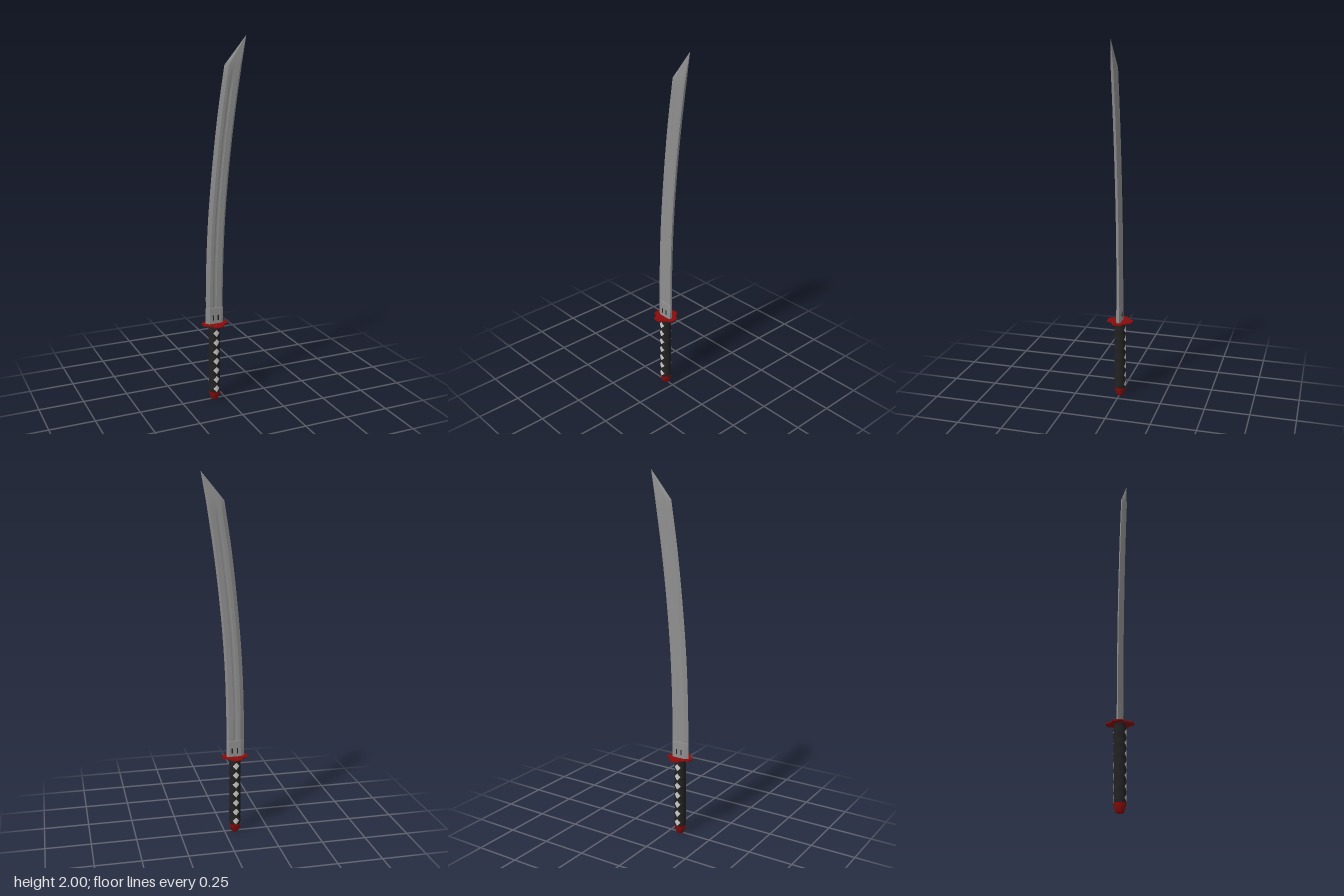
import * as THREE from 'three';
import { toCreasedNormals } from 'three/addons/utils/BufferGeometryUtils.js';

const CX = -0.06; // axis of the grip

const mat = (color, side = THREE.FrontSide) => new THREE.MeshStandardMaterial({ color, side });

// Cutting edge and spine as curves (x, y), sampled by height
const edgePts = [[0.45, -0.111], [0.7, -0.109], [1, -0.097], [1.3, -0.072], [1.6, -0.038], [1.85, 0]];
const spinePts = [[0.45, -0.013], [0.7, -0.011], [1, 0], [1.3, 0.024], [1.6, 0.059], [1.85, 0.096]];
const TIP = { x: 0.124, y: 2 };
const curveOf = pts => new THREE.CatmullRomCurve3(pts.map(([y, x]) => new THREE.Vector3(x, y, 0)));
const edge = curveOf(edgePts), spine = curveOf(spinePts);

function xAt(curve, y) {
  let lo = 0, hi = 1;
  for (let i = 0; i < 30; i++) {
    const m = (lo + hi) / 2;
    if (curve.getPoint(m).y < y) lo = m; else hi = m;
  }
  return curve.getPoint(lo).x;
}

function span(y) {
  if (y <= 1.85) return [xAt(edge, y), xAt(spine, y)];
  const t = (y - 1.85) / (TIP.y - 1.85);
  return [THREE.MathUtils.lerp(0, TIP.x, t), THREE.MathUtils.lerp(0.096, TIP.x, t)];
}

// Half section from edge (u = 0) to spine (u = 1): [u, half thickness, fuller depth]
const half = [[0, 0, 0], [0.22, 0.0105, 0], [0.4, 0.0105, 0], [0.45, 0.0105, 0.002], [0.51, 0.0105, 0.003],
  [0.57, 0.0105, 0.002], [0.62, 0.0105, 0], [0.9, 0.0105, 0], [1, 0.006, 0]];

// Loft closed sections through rows of { y, thick, fuller, grow }
function loft(rows) {
  const pos = [], idx = [];
  const n = half.length * 2 - 1;
  for (const { y, thick, fuller, grow } of rows) {
    const [a, b] = span(y);
    const put = ([u, z, f], s) => pos.push(
      THREE.MathUtils.lerp(a - grow, b + grow, u), y, s * (z - f * fuller) * thick);
    half.forEach(p => put(p, 1));
    half.slice(1).reverse().forEach(p => put(p, -1));
  }
  for (let j = 0; j < rows.length - 1; j++) {
    for (let i = 0; i < n; i++) {
      const a = j * n + i, b = j * n + (i + 1) % n;
      idx.push(a, b, b + n, a, b + n, a + n);
    }
  }
  const g = new THREE.BufferGeometry();
  g.setAttribute('position', new THREE.Float32BufferAttribute(pos, 3));
  g.setIndex(idx);
  return toCreasedNormals(g, 0.38);
}

function bladeGeometry() {
  const rows = [];
  for (let i = 0; i <= 28; i++) {
    const y = 0.45 + 1.4 * i / 28;
    rows.push({ y, thick: 1, fuller: Math.min(1, (1.85 - y) / 0.1), grow: 0 });
  }
  for (let i = 1; i <= 6; i++) {
    const t = i / 6;
    rows.push({ y: 1.85 + 0.15 * t, thick: 1 - 0.95 * t, fuller: 0, grow: 0 });
  }
  return loft(rows);
}

// Four-lobed guard plate
function guardGeometry() {
  const shape = new THREE.Shape();
  for (let k = 0; k < 4; k++) {
    const c = Math.cos(k * Math.PI / 2), s = Math.sin(k * Math.PI / 2);
    const r = (x, y) => [x * c - y * s, x * s + y * c];
    if (k === 0) shape.moveTo(...r(0.067, -0.027));
    shape.quadraticCurveTo(...r(0.077, 0), ...r(0.067, 0.027));
    shape.lineTo(...r(0.049, 0.031));
    shape.quadraticCurveTo(...r(0.043, 0.043), ...r(0.031, 0.049));
    shape.lineTo(...r(0.027, 0.067));
  }
  return new THREE.ExtrudeGeometry(shape, { depth: 0.006, bevelEnabled: false, curveSegments: 8 })
    .rotateX(-Math.PI / 2);
}

// Diamond patch bent around the grip, facing +z
function diamondGeometry(radius, w, h) {
  const g = new THREE.PlaneGeometry(2, 2, 4, 4);
  const p = g.attributes.position;
  for (let i = 0; i < p.count; i++) {
    const x = (p.getX(i) - p.getY(i)) / 2, y = (p.getX(i) + p.getY(i)) / 2;
    const a = x * w / radius;
    p.setXYZ(i, Math.sin(a) * radius, y * h, Math.cos(a) * radius);
  }
  g.computeVertexNormals();
  return g;
}

export function createModel() {
  const model = new THREE.Group();
  const add = (name, geo, material, x = 0, y = 0, z = 0, parent = model) => {
    const m = new THREE.Mesh(geo, material);
    m.name = name;
    m.position.set(x, y, z);
    parent.add(m);
    return m;
  };
  const steel = mat(0x909090), red = mat(0x8a0c0c), wrap = mat(0x222222), pale = mat(0xcccccc, THREE.DoubleSide);

  // Blade with its thicker collar above the guard
  add('blade', bladeGeometry(), steel);
  add('bladeCollar', loft([
    { y: 0.45, thick: 1.25, fuller: 0, grow: 0.001 },
    { y: 0.54, thick: 1.1, fuller: 0, grow: 0.001 },
    { y: 0.545, thick: 0.9, fuller: 0, grow: -0.001 },
  ]), steel);

  // Small dark slots on both faces of the collar
  for (const x of [-0.071, -0.042]) {
    add('collarSlot', new THREE.BoxGeometry(0.007, 0.03, 0.0265), wrap, x, 0.484, 0);
  }

  add('guard', guardGeometry(), red, -0.058, 0.445, 0);

  // Wrapped grip with a gently ribbed outline
  const profile = [new THREE.Vector2(0, 0.045)];
  for (let i = 0; i <= 56; i++) {
    const y = 0.045 + 0.4 * i / 56;
    profile.push(new THREE.Vector2(0.0315 + 0.0007 * Math.cos((y - 0.07) / 0.055 * Math.PI * 2), y));
  }
  add('grip', new THREE.LatheGeometry(profile, 32), wrap, CX);

  // Diamond inlays in a row on the front and back of the grip
  const inlays = new THREE.Group();
  inlays.name = 'gripInlays';
  model.add(inlays);
  const diamond = diamondGeometry(0.0328, 0.02, 0.021);
  for (let i = 0; i < 7; i++) {
    for (const turn of [0, Math.PI]) {
      add('gripDiamond', diamond, pale, CX, 0.07 + 0.055 * i, 0, inlays).rotation.y = turn;
    }
  }

  // Tapered pommel
  const pommel = [[0, 0], [0.02, 0], [0.022, 0.003], [0.031, 0.038], [0.032, 0.047], [0, 0.047]]
    .map(([r, y]) => new THREE.Vector2(r, y));
  add('pommel', toCreasedNormals(new THREE.LatheGeometry(pommel, 32), 0.6), red, CX);

  return model;
}
